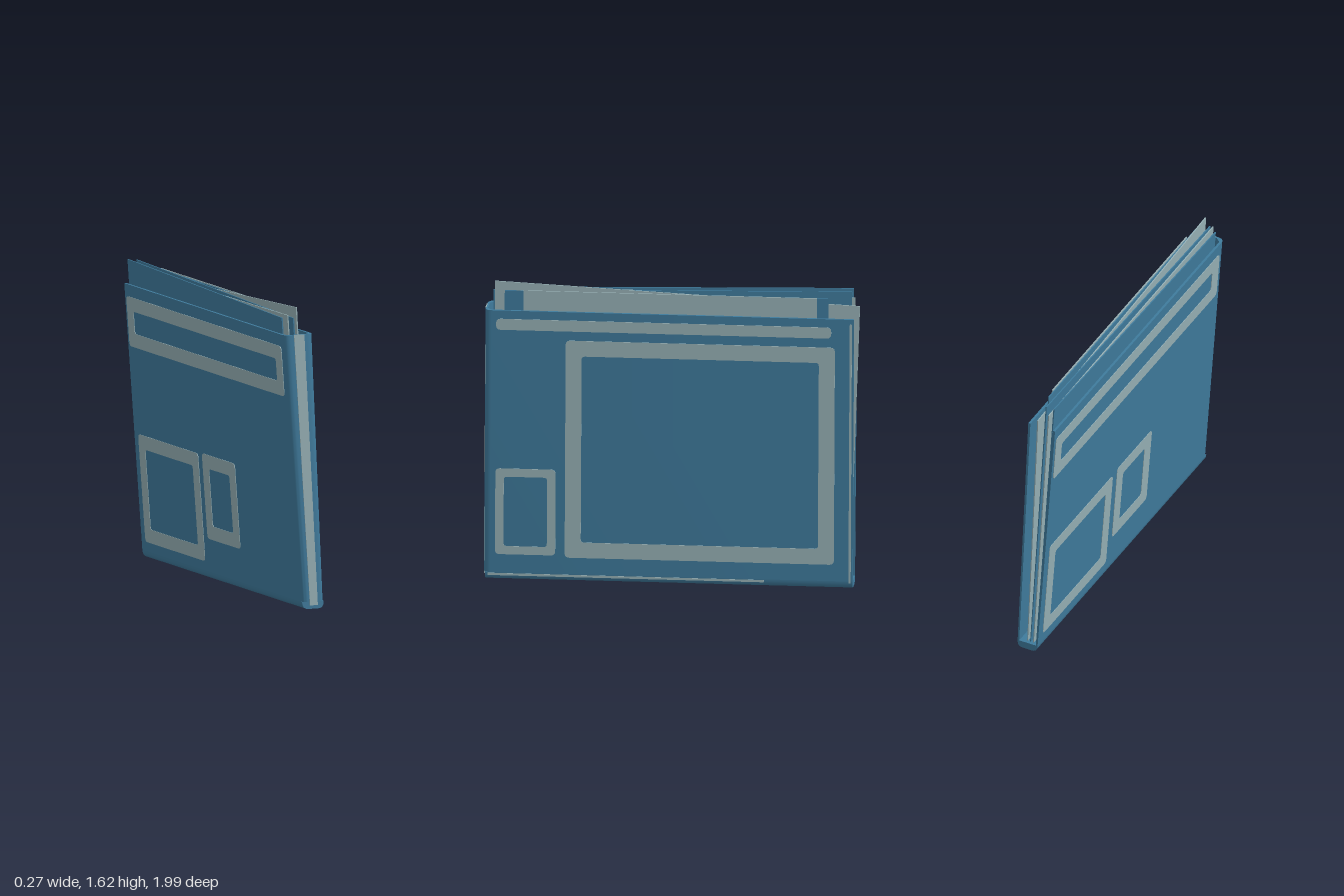
import * as THREE from 'three';
import { toCreasedNormals } from 'three/addons/utils/BufferGeometryUtils.js';

const HALF = 0.075, TOP = 1.475, FRONT = 0.99, BACK = -0.97;

// Lean, twist and slight widening of the whole folder
function warp(geo) {
  const p = geo.attributes.position;
  for (let i = 0; i < p.count; i++) {
    const s = (p.getX(i) / HALF + 1) / 2;
    const v = p.getY(i) / TOP, b = (FRONT - p.getZ(i)) / (FRONT - BACK);
    const left = 0.012 - 0.108 * v - 0.04 * b;
    const right = 0.137 - 0.066 * v - 0.046 * b;
    p.setX(i, left + (right - left) * s);
  }
  return toCreasedNormals(geo, 0.6);
}

// Rounded rectangle outline
function roundRect(Type, x0, x1, y0, y1, r) {
  const s = new Type();
  s.moveTo(x0 + r, y0);
  s.lineTo(x1 - r, y0); s.quadraticCurveTo(x1, y0, x1, y0 + r);
  s.lineTo(x1, y1 - r); s.quadraticCurveTo(x1, y1, x1 - r, y1);
  s.lineTo(x0 + r, y1); s.quadraticCurveTo(x0, y1, x0, y1 - r);
  s.lineTo(x0, y0 + r); s.quadraticCurveTo(x0, y0, x0 + r, y0);
  return s;
}

export function createModel() {
  const group = new THREE.Group();
  const blue = new THREE.MeshStandardMaterial({ color: 0x3f7b9d });
  blue.name = 'folderBlue';
  const pale = new THREE.MeshStandardMaterial({ color: 0x97b1b6 });
  pale.name = 'paleGrey';

  const add = (name, geo, mat) => {
    const m = new THREE.Mesh(warp(geo), mat);
    m.name = name;
    group.add(m);
  };
  const extrude = (shape, depth) =>
    new THREE.ExtrudeGeometry(shape, { depth, bevelEnabled: false, curveSegments: 6 });
  // Plate lying in the z-y plane (shape x is -z), starting at x
  const sidePlate = (shape, x, depth) =>
    extrude(shape, depth).rotateY(Math.PI / 2).translate(x, 0, 0);

  // Covers and spine: one U section, open at the back and top
  const w = HALF, t = 0.012, r = 0.035;
  const u = new THREE.Shape();
  u.moveTo(-w, -BACK);
  u.lineTo(-w, -FRONT + r); u.quadraticCurveTo(-w, -FRONT, -w + r, -FRONT);
  u.lineTo(w - r, -FRONT); u.quadraticCurveTo(w, -FRONT, w, -FRONT + r);
  u.lineTo(w, -BACK); u.lineTo(w - t, -BACK);
  u.lineTo(w - t, -FRONT + r); u.lineTo(w - r, -FRONT + t);
  u.lineTo(-w + r, -FRONT + t); u.lineTo(-w + t, -FRONT + r);
  u.lineTo(-w + t, -BACK);
  u.closePath();
  add('coversAndSpine', extrude(u, TOP - 0.04).rotateX(-Math.PI / 2).translate(0, 0.04, 0), blue);

  // Rounded bottom fold
  const fold = new THREE.Shape();
  fold.moveTo(-w, 0.04);
  fold.quadraticCurveTo(-w, 0, -w + 0.04, 0);
  fold.lineTo(w - 0.04, 0);
  fold.quadraticCurveTo(w, 0, w, 0.04);
  fold.closePath();
  add('bottomFold', extrude(fold, 0.982 - BACK).translate(0, 0, BACK), blue);

  // Pale stripe down the spine
  add('spineStripe', new THREE.BoxGeometry(0.054, TOP - 0.02, 0.006)
    .translate(0, TOP / 2 + 0.01, FRONT), pale);

  // Printed panels: side, z range, y range, border width (0 = solid)
  const panels = [
    ['largeFrame', 1, -0.87, 0.56, 0.13, 1.32, 0.085],
    ['smallFrame', 1, 0.61, 0.93, 0.14, 0.61, 0.045],
    ['titleBar', 1, -0.85, 0.93, 1.37, 1.43, 0],
    ['bottomSeam', 1, -0.5, 0.97, 0.024, 0.036, 0],
    ['backSeam', 1, -0.96, -0.948, 0.03, 1.45, 0],
    ['longFrame', -1, -0.95, 0.94, 1.14, 1.41, 0.075],
    ['wideFrame', -1, -0.92, -0.19, 0.09, 0.67, 0.075],
    ['narrowFrame', -1, -0.14, 0.26, 0.22, 0.68, 0.075],
  ];
  for (const [name, side, z0, z1, y0, y1, b] of panels) {
    const rad = Math.min(0.025, (y1 - y0) / 2.1, (z1 - z0) / 2.1);
    const s = roundRect(THREE.Shape, -z1, -z0, y0, y1, rad);
    if (b) s.holes.push(roundRect(THREE.Path, -z1 + b, -z0 - b, y0 + b, y1 - b, 0.018));
    add(name, sidePlate(s, side > 0 ? w - 0.002 : -w - 0.003, 0.005), pale);
  }

  // Sheets inside: x, back z, front z, top at back, top at front, colour
  const sheets = [
    [-0.056, -0.955, 0.92, 1.605, 1.56, blue],
    [-0.034, -0.965, 0.94, 1.56, 1.575, pale],
    [-0.012, -0.95, 0.955, 1.6, 1.56, blue],
    [0.010, -0.995, 0.945, 1.53, 1.615, pale],
    [0.030, -0.83, 0.89, 1.572, 1.572, blue],
    [0.038, -0.77, 0.79, 1.576, 1.576, pale],
  ];
  sheets.forEach(([x, zb, zf, yb, yf, mat], i) => {
    const s = new THREE.Shape();
    s.moveTo(-zf, 0.035);
    s.lineTo(-Math.max(zb, -0.95), 0.035);
    s.lineTo(-zb, yb);
    s.lineTo(-zf, yf);
    s.closePath();
    add('sheet' + (i + 1), sidePlate(s, x, 0.006), mat);
  });

  return group;
}
